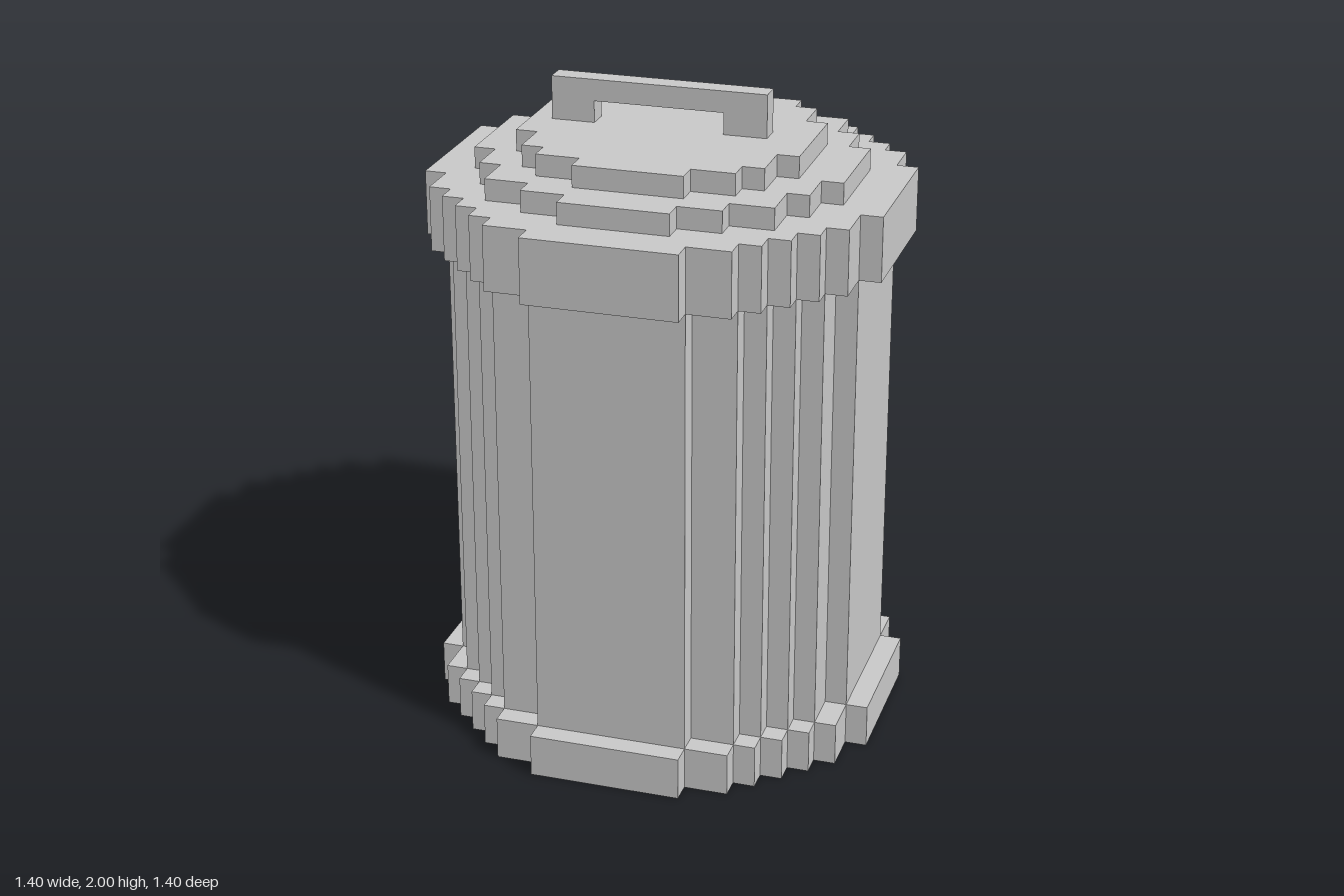
import * as THREE from 'three';

const UNIT = 2 / 30; // edge of one block
const material = new THREE.MeshStandardMaterial({ color: 0xcccccc, flatShading: true });

// Stepped outline of a disc of blocks, radius given in blocks
function discShape(radius) {
  const rows = radius - 0.5;
  const side = [];
  let last = 0;
  for (let row = rows; row >= -rows; row--) {
    const half = Math.floor(Math.sqrt(radius * radius - row * row)) + 0.5;
    if (half !== last) {
      if (last) side.push([last, row + 0.5]);
      side.push([half, row + 0.5]);
    }
    last = half;
  }
  side.push([last, -rows - 0.5]);
  const mirrored = side.map(([x, y]) => [-x, y]).reverse();
  return new THREE.Shape([...side, ...mirrored].map(([x, y]) => new THREE.Vector2(x * UNIT, y * UNIT)));
}

// Blocky disc standing between two heights
function disc(name, radius, bottom, top) {
  const geometry = new THREE.ExtrudeGeometry(discShape(radius), {
    depth: (top - bottom) * UNIT, bevelEnabled: false,
  });
  geometry.rotateX(-Math.PI / 2);
  const mesh = new THREE.Mesh(geometry, material);
  mesh.name = name;
  mesh.position.y = bottom * UNIT;
  return mesh;
}

// Bracket handle, one block thick
function handle() {
  const outline = [[-5.5, 28], [-3.5, 28], [-3.5, 29], [2.5, 29], [2.5, 28], [4.5, 28], [4.5, 30], [-5.5, 30]];
  const shape = new THREE.Shape(outline.map(([x, y]) => new THREE.Vector2(x * UNIT, y * UNIT)));
  const geometry = new THREE.ExtrudeGeometry(shape, { depth: UNIT, bevelEnabled: false });
  geometry.translate(0, 0, -UNIT / 2);
  const mesh = new THREE.Mesh(geometry, material);
  mesh.name = 'handle';
  return mesh;
}

export function createModel() {
  const can = new THREE.Group();
  can.name = 'trashCan';
  can.add(
    disc('baseRim', 10.5, 0, 2),
    disc('body', 9.5, 2, 23),
  );

  // Lid with two stepped tiers and a handle
  const lid = new THREE.Group();
  lid.name = 'lid';
  lid.add(
    disc('lidRim', 10.5, 23, 26),
    disc('lowerTier', 8.5, 26, 27),
    disc('upperTier', 6.5, 27, 28),
    handle(),
  );
  can.add(lid);
  return can;
}
